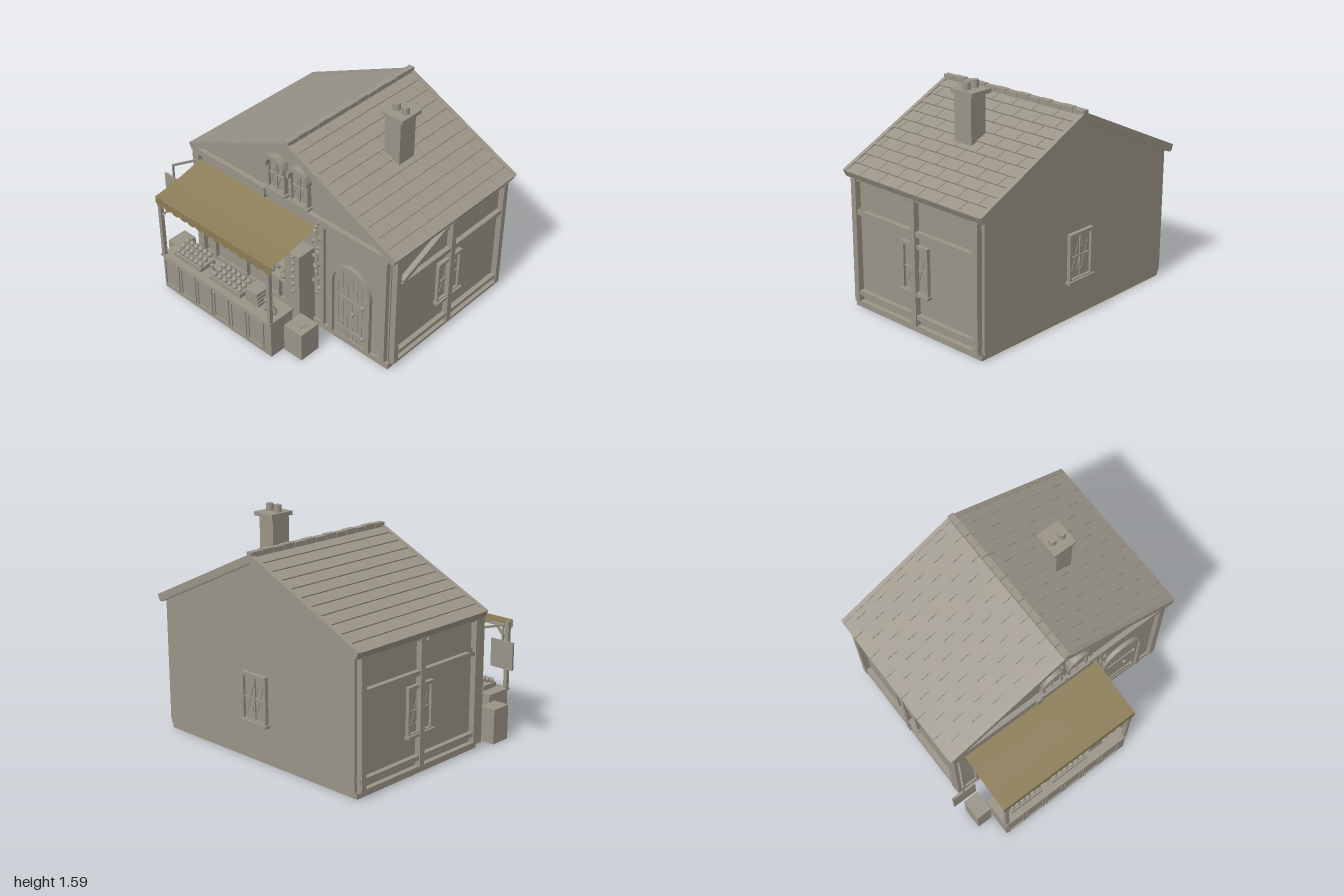
import * as THREE from 'three';

const mat = (name, color) => Object.assign(new THREE.MeshStandardMaterial({ color }), { name });

export function createModel() {
  const clay = mat('warm grey', 0x9a9488);
  const canvas = mat('awning canvas', 0x8c7d58);
  canvas.side = THREE.DoubleSide;
  const root = new THREE.Group();
  root.name = 'marketHouse';
  const CX = 0.05; // house centre line

  const add = (parent, name, geo, x = 0, y = 0, z = 0, m = clay) => {
    const mesh = new THREE.Mesh(geo, m);
    mesh.name = name;
    mesh.position.set(x, y, z);
    parent.add(mesh);
    return mesh;
  };
  const group = (name, parent = root, x = 0, y = 0, z = 0) => {
    const g = new THREE.Group();
    g.name = name;
    g.position.set(x, y, z);
    parent.add(g);
    return g;
  };
  // box given by its extents
  const box = (p, name, x0, x1, y0, y1, z0, z1) =>
    add(p, name, new THREE.BoxGeometry(x1 - x0, y1 - y0, z1 - z0), (x0 + x1) / 2, (y0 + y1) / 2, (z0 + z1) / 2);
  // bar running from a to b
  const beam = (p, name, a, b, w, h) => {
    const A = new THREE.Vector3(...a), B = new THREE.Vector3(...b);
    const m = new THREE.Mesh(new THREE.BoxGeometry(w, h, A.distanceTo(B)), clay);
    m.name = name;
    m.position.copy(A).lerp(B, 0.5);
    m.lookAt(B);
    p.add(m);
    return m;
  };
  const extrude = (shape, depth) => new THREE.ExtrudeGeometry(shape, { depth, bevelEnabled: false, curveSegments: 16 });

  // Walls and plinth
  const house = group('house');
  const gable = new THREE.Shape([[-0.88, 0.04], [0.88, 0.04], [0.88, 0.95], [0, 1.36], [-0.88, 0.95]]
    .map(([x, y]) => new THREE.Vector2(x, y)));
  add(house, 'walls', extrude(gable, 1.175), CX, 0, -0.805);
  box(house, 'plinth', CX - 0.89, CX + 0.89, 0, 0.045, -0.79, 0.385);

  // Front timbers
  box(house, 'gableBeam', CX - 0.88, CX + 0.88, 0.91, 0.955, 0.36, 0.405);
  box(house, 'frontPostRight', CX - 0.92, CX - 0.86, 0.045, 0.95, 0.36, 0.405);
  box(house, 'frontPostLeft', CX + 0.825, CX + 0.87, 0.06, 0.91, 0.36, 0.405);
  box(house, 'innerPost', 0.335, 0.37, 0.05, 0.91, 0.36, 0.395);
  box(house, 'beamPeg', -0.19, -0.15, 0.885, 0.965, 0.37, 0.42);

  // Window facing +z, centred on its own origin
  const makeWindow = (p, name, w, h, trim) => {
    const g = group(name, p);
    const f = 0.016;
    box(g, 'glass', -w / 2, w / 2, -h / 2, h / 2, -0.01, 0.006);
    for (const s of [-1, 1]) {
      box(g, 'jamb', s * w / 2 - f / 2, s * w / 2 + f / 2, -h / 2, h / 2, -0.01, 0.025);
      box(g, 'rail', -w / 2, w / 2, s * h / 2 - f / 2, s * h / 2 + f / 2, -0.01, 0.025);
    }
    box(g, 'mullion', -0.005, 0.005, -h / 2, h / 2, 0, 0.016);
    box(g, 'transom', -w / 2, w / 2, -0.005, 0.005, 0, 0.016);
    for (const o of [-0.2, 0.02, 0.24])
      beam(g, 'glint', [w * (o - 0.16), -h * 0.32, 0.008], [w * (o + 0.12), h * 0.3, 0.008], 0.004, 0.004);
    box(g, 'sill', -w / 2 - 0.02, w / 2 + 0.02, -h / 2 - 0.02, -h / 2, -0.01, 0.04);
    if (trim) box(g, 'head', -w / 2 - 0.01, w / 2 + 0.01, h / 2, h / 2 + 0.018, -0.01, 0.03);
    return g;
  };

  // Arched strip: half ring with optional legs
  const arch = (ro, ri, leg) => {
    const s = new THREE.Shape();
    s.moveTo(ro, -leg);
    s.lineTo(ro, 0);
    s.absarc(0, 0, ro, 0, Math.PI, false);
    s.lineTo(-ro, -leg);
    s.lineTo(-ri, -leg);
    s.lineTo(-ri, 0);
    s.absarc(0, 0, ri, Math.PI, 0, true);
    s.lineTo(ri, -leg);
    return s;
  };

  // Twin gable windows and the back window
  for (const x of [-0.05, 0.158]) {
    makeWindow(house, 'gableWindow', 0.145, 0.245, false).position.set(x, 1.115, 0.38);
    add(house, 'windowArch', extrude(arch(0.092, 0.066, 0.01), 0.055), x, 1.183, 0.375);
  }
  const backWindow = makeWindow(house, 'backWindow', 0.21, 0.31, true);
  backWindow.position.set(CX, 0.445, -0.805);
  backWindow.rotation.y = Math.PI;

  // Half-timbered sides
  for (const s of [-1, 1]) {
    const side = group('sideFrame', house);
    const bar = (name, y0, y1, z0, z1, out = 0.915) => {
      const a = CX + s * 0.86, b = CX + s * out;
      box(side, name, Math.min(a, b), Math.max(a, b), y0, y1, z0, z1);
    };
    for (const [y0, y1] of [[0.04, 0.06], [0.105, 0.135], [0.68, 0.712], [0.915, 0.945]])
      bar('sideRail', y0, y1, -0.785, 0.36);
    for (const [z0, z1] of [[0.317, 0.36], [-0.235, -0.192], [-0.783, -0.742]])
      bar('sidePost', 0.055, 0.93, z0, z1, 0.922);
    beam(side, 'brace', [CX + s * 0.895, 0.72, 0.285], [CX + s * 0.895, 0.91, -0.16], 0.045, 0.03);
    const w = makeWindow(side, 'sideWindow', 0.22, 0.31, true);
    w.position.set(CX + s * 0.88, 0.445, -0.213);
    w.rotation.y = s * Math.PI / 2;
  }

  // Roof: slab with staggered tile rows on both slopes
  const roof = group('roof', root, CX, 1.412, -0.215);
  const LEN = 1.25, SLOPE = Math.hypot(0.94, 0.44), ANG = Math.atan2(0.44, 0.94), ROWS = 11;
  for (const s of [1, -1]) {
    const turn = group('roofSide', roof);
    turn.rotation.y = s > 0 ? 0 : Math.PI;
    const half = group('slope', turn);
    half.rotation.z = -ANG;
    box(half, 'slab', 0, SLOPE, -0.05, -0.01, -LEN / 2 + 0.01, LEN / 2 - 0.01);
    const step = SLOPE / ROWS, tw = 0.178;
    for (let r = 0; r < ROWS; r++) {
      let z = -LEN / 2 + 0.02;
      for (let i = 0; z < LEN / 2 - 0.03; i++) {
        const end = Math.min(LEN / 2 - 0.02, z + (i === 0 && r % 2 ? tw / 2 : tw));
        const t = box(half, 'tile', r * step, (r + 1) * step + 0.004, -0.013, 0, z, end - 0.004);
        t.rotation.z = 0.09;
        z = end;
      }
    }
    for (const e of [-1, 1])
      box(half, 'bargeboard', 0, SLOPE, -0.045, 0.006, e * (LEN / 2 - 0.015) - 0.015, e * (LEN / 2 - 0.015) + 0.015);
  }
  for (let i = 0; i < 13; i++) {
    const z = -LEN / 2 + i * LEN / 13;
    box(roof, 'ridgeTile', -0.022, 0.022, -0.03, 0.02 + (i % 2) * 0.004, z, z + LEN / 13 - 0.004);
  }

  // Chimney
  const chimney = group('chimney');
  box(chimney, 'stack', 0.4, 0.53, 1.1, 1.52, -0.305, -0.155);
  box(chimney, 'cap', 0.375, 0.55, 1.515, 1.543, -0.335, -0.145);
  for (const x of [0.425, 0.5])
    add(chimney, 'pot', new THREE.CylinderGeometry(0.026, 0.028, 0.055, 16), x, 1.565, -0.235);

  // Arched plank door
  const door = group('door', root, 0.6, 0, 0.37);
  add(door, 'doorFrame', extrude(arch(0.18, 0.148, 0.46), 0.03), 0, 0.505, 0);
  for (let i = 0; i < 7; i++) {
    const x = -0.126 + i * 0.042, top = 0.505 + Math.sqrt(0.15 ** 2 - x * x);
    box(door, 'plank', x - 0.0195, x + 0.0195, 0.05, top, -0.01, 0.01);
  }
  for (const y of [0.125, 0.4]) {
    box(door, 'hinge', -0.125, 0.11, y - 0.01, y + 0.01, 0, 0.018);
    add(door, 'hingeTip', new THREE.SphereGeometry(0.016, 10, 8), 0.11, y, 0.012);
  }
  add(door, 'knob', new THREE.SphereGeometry(0.014, 12, 8), 0.03, 0.305, 0.02);

  // Market stall counter
  const stall = group('stall');
  box(stall, 'counter', -0.765, 0.295, 0, 0.285, 0.62, 0.825);
  box(stall, 'counterTop', -0.775, 0.3, 0.285, 0.3, 0.615, 0.838);
  for (let i = 0; i < 6; i++) {
    const x = -0.755 + i * 0.167;
    for (const k of [0, 1]) {
      box(stall, 'panelStile', x + k * 0.138, x + k * 0.138 + 0.012, 0.035, 0.27, 0.82, 0.834);
      box(stall, 'panelRail', x, x + 0.15, 0.035 + k * 0.223, 0.047 + k * 0.223, 0.82, 0.834);
    }
  }
  for (const [x, s] of [[-0.757, 1], [0.283, -1]]) {
    box(stall, 'awningPost', x - 0.014, x + 0.014, 0.3, 0.785, 0.803, 0.831);
    beam(stall, 'awningBrace', [x, 0.64, 0.815], [x + s * 0.09, 0.735, 0.815], 0.016, 0.016);
  }
  box(stall, 'awningRail', -0.765, 0.295, 0.74, 0.76, 0.805, 0.825);

  // Awning: sagging sheet with a scalloped valance
  const sheet = new THREE.PlaneGeometry(1.105, 1, 1, 10);
  const sp = sheet.attributes.position;
  for (let i = 0; i < sp.count; i++) {
    const t = 0.5 - sp.getY(i);
    sp.setXYZ(i, sp.getX(i), 0.8 + 0.088 * (1 - t) ** 1.4, 0.41 + 0.422 * t);
  }
  sheet.computeVertexNormals();
  add(stall, 'awning', sheet, -0.2325, 0, 0, canvas);
  const val = new THREE.Shape();
  const sc = 1.105 / 14;
  val.moveTo(0, 0.8);
  val.lineTo(0, 0.745);
  for (let i = 0; i < 14; i++) val.quadraticCurveTo((i + 0.5) * sc, 0.712, (i + 1) * sc, 0.745);
  val.lineTo(1.105, 0.8);
  add(stall, 'valance', new THREE.ShapeGeometry(val, 6), -0.785, 0, 0.833, canvas);

  // Goods
  const flaskGeo = new THREE.LatheGeometry([[0, 0], [0.016, 0], [0.025, 0.014], [0.025, 0.03], [0.01, 0.05],
    [0.009, 0.075], [0.014, 0.078], [0.014, 0.088], [0, 0.088]].map(([x, y]) => new THREE.Vector2(x, y)), 14);
  const fruitGeo = new THREE.SphereGeometry(0.021, 10, 8);
  const goods = group('goods', stall);
  const tray = (x0, x1, z0, z1) => box(goods, 'tray', x0, x1, 0.3, 0.335, z0, z1);
  tray(-0.69, -0.42, 0.65, 0.79);
  tray(-0.33, -0.03, 0.65, 0.79);
  for (let r = 0; r < 3; r++) {
    for (let i = 0; i < 6; i++) add(goods, 'jar', fruitGeo, -0.665 + i * 0.044, 0.347 + (2 - r) * 0.017, 0.675 + r * 0.044);
    for (let i = 0; i < 6; i++) add(goods, 'fruit', fruitGeo, -0.3 + i * 0.048, 0.347 + (2 - r) * 0.01, 0.675 + r * 0.044);
  }
  for (let i = 0; i < 4; i++) box(goods, 'stackedBox', 0.005, 0.125 - i * 0.004, 0.3 + i * 0.027, 0.324 + i * 0.027, 0.65, 0.77);
  for (const [x, z] of [[0.17, 0.74], [0.24, 0.74], [-0.35, 0.74]]) add(goods, 'flask', flaskGeo, x, 0.3, z);

  // Wall shelves behind the counter
  const shelf = group('shelves', stall);
  for (const x of [-0.7, -0.38, -0.17, -0.06, 0.12]) box(shelf, 'upright', x - 0.01, x + 0.01, 0.05, 0.72, 0.37, 0.4);
  for (const y of [0.3, 0.43, 0.56, 0.69]) box(shelf, 'board', -0.71, 0.13, y - 0.008, y + 0.008, 0.37, y > 0.6 ? 0.42 : 0.47);
  for (let i = 0; i < 7; i++) {
    const x = -0.65 + i * 0.115;
    add(shelf, 'flask', flaskGeo, x, 0.568, 0.44);
    add(shelf, 'flask', flaskGeo, x, 0.308, 0.44);
    if (i < 6) box(shelf, 'smallBox', x - 0.02, x + 0.07, 0.438, 0.505, 0.4, 0.465);
  }

  // Tall cabinet with a row of knobs
  const cabinet = group('cabinet', stall);
  box(cabinet, 'cabinetBody', 0.13, 0.265, 0, 0.66, 0.37, 0.52);
  for (let i = 0; i < 6; i++) add(cabinet, 'bulb', new THREE.SphereGeometry(0.015, 10, 8), 0.213, 0.35 + i * 0.06, 0.525);

  // Crates on either side
  box(root, 'leftCrate', 0.305, 0.465, 0, 0.22, 0.548, 0.712);
  box(root, 'crateLid', 0.355, 0.415, 0.215, 0.225, 0.6, 0.66);
  const mark = add(root, 'crateMark', new THREE.CylinderGeometry(0.018, 0.018, 0.006, 3), 0.387, 0.125, 0.713);
  mark.rotation.x = -Math.PI / 2;
  box(root, 'rightCrate', -0.895, -0.78, 0, 0.25, 0.51, 0.665);

  // Hanging sign
  const sign = group('hangingSign');
  box(sign, 'signBoard', -1, -0.82, 0.545, 0.74, 0.547, 0.563);
  beam(sign, 'signArm', [-0.835, 0.848, 0.4], [-0.912, 0.848, 0.555], 0.012, 0.014);
  box(sign, 'signHanger', -0.917, -0.905, 0.735, 0.855, 0.549, 0.561);

  // Leafy garland
  const vine = group('garland');
  box(vine, 'vineStem', 0.34, 0.346, 0.36, 0.98, 0.42, 0.426);
  for (let i = 0; i < 15; i++) {
    const leaf = add(vine, 'leaf', new THREE.OctahedronGeometry(0.024), 0.343 + Math.sin(i * 2.4) * 0.028, 0.36 + i * 0.043, 0.433);
    leaf.scale.set(0.8, 1.2, 0.5);
    leaf.rotation.z = Math.sin(i * 1.7) * 0.5;
  }
  return root;
}
